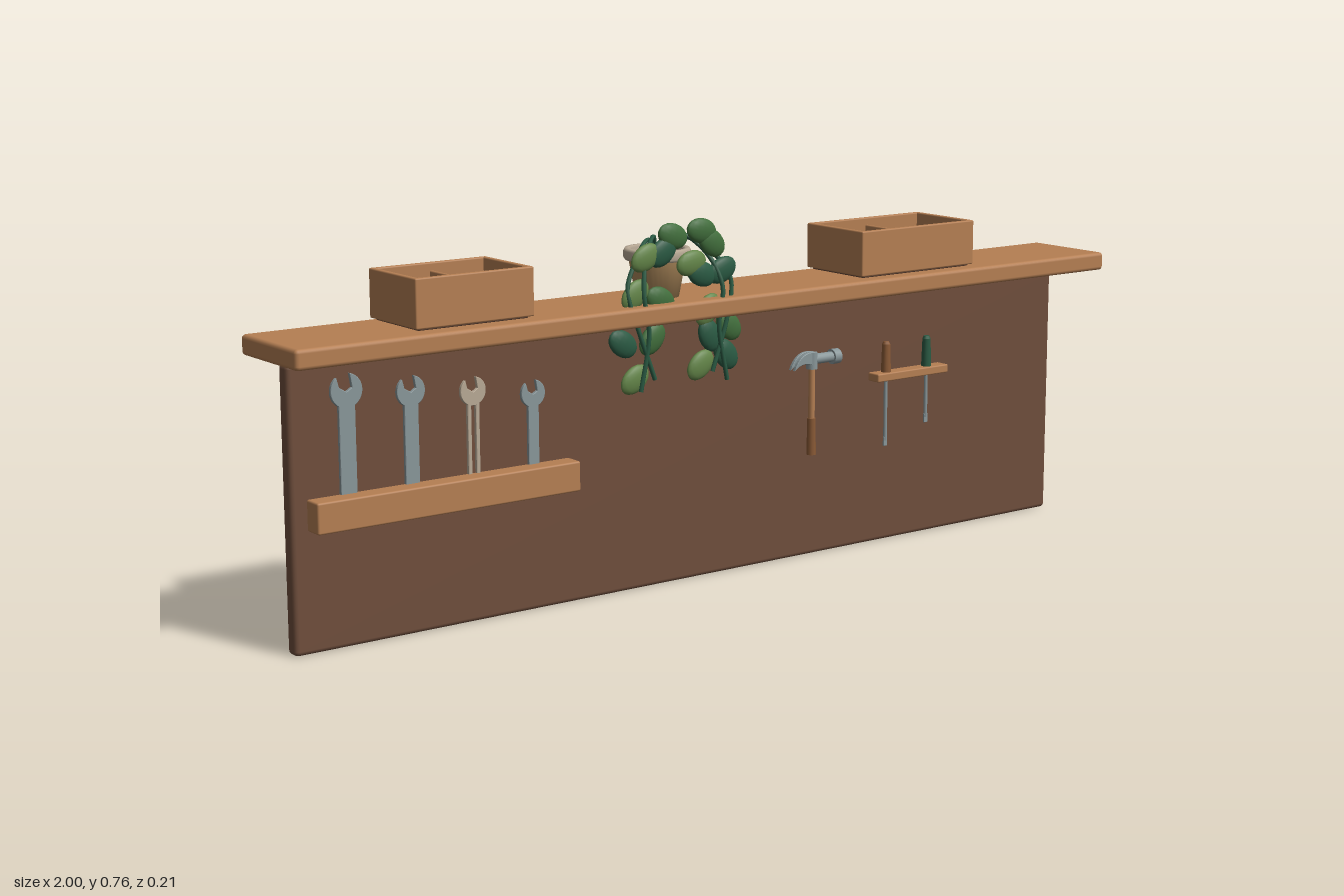
import * as THREE from 'three';
import { RoundedBoxGeometry } from 'three/addons/geometries/RoundedBoxGeometry.js';

const mat = (name, color) => {
  const m = new THREE.MeshStandardMaterial({ color });
  m.name = name;
  return m;
};

export function createModel() {
  const wood = mat('oak', 0xb57f53);
  const dark = mat('walnut', 0x6f4e3c);
  const steel = mat('steel', 0x89979a);
  const brass = mat('brass', 0xb8a05c);
  const darkGreen = mat('dark green', 0x2a5a43);
  const midGreen = mat('mid green', 0x416e3c);
  const lightGreen = mat('light green', 0x648649);
  const clay = mat('clay', 0xb28d5e);
  const rimColor = mat('pale glaze', 0xb8a995);
  const handleBrown = mat('handle brown', 0x8a5a36);

  const root = new THREE.Group();
  root.name = 'toolShelf';

  const add = (parent, name, geo, material, x = 0, y = 0, z = 0) => {
    const mesh = new THREE.Mesh(geo, material);
    mesh.name = name;
    mesh.position.set(x, y, z);
    parent.add(mesh);
    return mesh;
  };
  const group = (name, x = 0, y = 0, z = 0) => {
    const g = new THREE.Group();
    g.name = name;
    g.position.set(x, y, z);
    root.add(g);
    return g;
  };
  // Box given by its limits on each axis
  const block = (parent, name, material, x0, x1, y0, y1, z0, z1, r = 0.003) =>
    add(parent, name, new RoundedBoxGeometry(x1 - x0, y1 - y0, z1 - z0, 2, r), material,
      (x0 + x1) / 2, (y0 + y1) / 2, (z0 + z1) / 2);
  const rod = (parent, name, material, rTop, rBottom, x, y0, y1, z, sides = 12) =>
    add(parent, name, new THREE.CylinderGeometry(rTop, rBottom, y1 - y0, sides), material, x, (y0 + y1) / 2, z);
  const plate = (shape, depth, bevel = 0.001) => new THREE.ExtrudeGeometry(shape, {
    depth, bevelEnabled: true, bevelSize: bevel, bevelThickness: bevel, bevelSegments: 1, curveSegments: 10,
  });

  // Back panel and shelf board
  block(root, 'backPanel', dark, -0.957, 0.957, 0, 0.547, -0.048, -0.015, 0.009);
  block(root, 'shelfBoard', wood, -1, 1, 0.558, 0.597, -0.105, 0.105, 0.008);

  // Divided parts trays, each with a brass coil and a set of bolts
  const tray = (name, x, w, d) => {
    const g = group(name, x, 0.597, 0);
    const a = w / 2, b = d / 2, t = 0.011;
    block(g, 'trayFloor', dark, -a + 0.008, a - 0.008, 0.002, 0.016, -b + 0.008, b - 0.008);
    for (const s of [-1, 1]) {
      block(g, 'trayLongWall', wood, -a, a, 0.006, 0.1, s * (b - t / 2) - t / 2, s * (b - t / 2) + t / 2);
      block(g, 'trayEndWall', wood, s * (a - t / 2) - t / 2, s * (a - t / 2) + t / 2, 0.006, 0.1, -b, b);
    }
    block(g, 'trayDivider', wood, -0.004, 0.004, 0.012, 0.085, -b + t, b - t);
    const cx = -a / 2;
    for (const [r, tube] of [[0.034, 0.009], [0.019, 0.006]]) {
      const ring = add(g, 'brassRing', new THREE.TorusGeometry(r, tube, 8, 28), brass, cx, 0.026, -0.003);
      ring.rotation.x = Math.PI / 2;
    }
    for (let i = 0; i < 6; i++) {
      const bx = a / 2 - 0.013 + (i % 2) * 0.024, bz = -0.02 + Math.floor(i / 2) * 0.024;
      rod(g, 'boltShank', steel, 0.004, 0.004, bx, 0.014, 0.04, bz, 8);
      rod(g, 'boltHead', steel, 0.009, 0.009, bx, 0.036, 0.044, bz, 6);
    }
  };
  tray('smallTray', -0.617, 0.255, 0.17);
  tray('largeTray', 0.465, 0.31, 0.18);

  // Flower pot
  const pot = group('flowerPot', -0.145, 0.597, 0);
  const v = (x, y) => new THREE.Vector2(x, y);
  add(pot, 'potBody', new THREE.LatheGeometry([v(0, 0), v(0.043, 0), v(0.058, 0.08)], 32), clay);
  add(pot, 'potRim', new THREE.LatheGeometry(
    [v(0.056, 0.074), v(0.064, 0.074), v(0.067, 0.079), v(0.067, 0.092), v(0.064, 0.097), v(0.056, 0.097), v(0.053, 0.093), v(0.053, 0.074)], 32), rimColor);
  rod(pot, 'soil', dark, 0.054, 0.054, 0, 0.076, 0.086, 0, 32);

  // Trailing stems, mirrored about the pot
  const plant = group('trailingPlant', -0.145, 0, 0);
  const stems = [
    [[0.01, 0.68, 0.005], [0.03, 0.722, 0.03], [0.07, 0.69, 0.06], [0.095, 0.62, 0.088], [0.085, 0.54, 0.09], [0.105, 0.43, 0.09]],
    [[0.01, 0.68, 0.01], [0.04, 0.715, 0.025], [0.095, 0.68, 0.06], [0.125, 0.63, 0.075], [0.11, 0.56, 0.085], [0.07, 0.45, 0.088]],
  ];
  for (const s of [-1, 1]) for (const pts of stems) {
    const curve = new THREE.CatmullRomCurve3(pts.map(p => new THREE.Vector3(p[0] * s, p[1], p[2])));
    add(plant, 'stem', new THREE.TubeGeometry(curve, 32, 0.0045, 6), darkGreen);
  }
  // Leaves: x, y, tilt, colour index
  const greens = [darkGreen, midGreen, lightGreen];
  const leaves = [
    [-0.08, 0.688, 0.5, 2], [-0.015, 0.725, -0.35, 1], [0.055, 0.73, -0.2, 1], [0.105, 0.648, 0.4, 0],
    [0.03, 0.668, 0.2, 2], [0.08, 0.705, -0.7, 1], [-0.105, 0.618, 0.7, 2], [-0.04, 0.695, 0.6, 0],
    [-0.045, 0.602, -0.5, 1], [0.055, 0.645, -0.4, 0], [0.07, 0.572, 0.9, 2], [0.122, 0.535, -0.8, 1],
    [-0.135, 0.525, -0.6, 0], [-0.065, 0.527, 0.8, 1], [-0.107, 0.452, 0.6, 2], [0.052, 0.463, 0.7, 2],
    [0.115, 0.478, -0.9, 0], [0.075, 0.52, -1.1, 0],
  ];
  const leafGeo = new THREE.SphereGeometry(1, 16, 10);
  for (const [x, y, tilt, c] of leaves) {
    const leaf = add(plant, 'leaf', leafGeo, greens[c], x, y, 0.072);
    leaf.scale.set(0.036, 0.025, 0.011);
    leaf.rotation.z = tilt;
  }

  // Wrench rack
  block(root, 'wrenchRack', wood, -0.925, -0.35, 0.235, 0.295, -0.016, 0.027, 0.004);

  // Open-ended wrenches; the jaw notch leans to one side
  const wrench = (x, top, r, half, hollow) => {
    const s = new THREE.Shape();
    const cy = top - r, a = Math.asin(half / r), lean = 0.2;
    s.moveTo(-half, 0.25);
    s.lineTo(half, 0.25);
    s.absarc(0, cy, r, -Math.PI / 2 + a, Math.PI / 2 - 0.45 + lean, false);
    s.lineTo(r * 0.4, cy + r * 0.15);
    s.lineTo(0, cy - r * 0.1);
    s.lineTo(-r * 0.5, cy + r * 0.2);
    s.absarc(0, cy, r, Math.PI / 2 + 0.5 + lean, Math.PI * 1.5 - a, false);
    s.closePath();
    if (hollow) {
      const slot = new THREE.Path();
      const h = half * 0.5;
      slot.moveTo(-h, 0.256);
      slot.lineTo(-h, cy - r);
      slot.lineTo(h, cy - r);
      slot.lineTo(h, 0.256);
      slot.closePath();
      s.holes.push(slot);
    }
    add(root, 'wrench', plate(s, 0.006), hollow ? rimColor : steel, x, 0, -0.014);
  };
  wrench(-0.84, 0.52, 0.032, 0.016, false);
  wrench(-0.705, 0.5, 0.029, 0.014, false);
  wrench(-0.57, 0.482, 0.027, 0.012, true);
  wrench(-0.435, 0.46, 0.026, 0.011, false);

  // Claw hammer
  const hammer = group('hammer', 0.25, 0, 0.002);
  rod(hammer, 'hammerHandle', wood, 0.007, 0.007, 0, 0.295, 0.42, 0);
  rod(hammer, 'hammerGrip', handleBrown, 0.009, 0.01, 0, 0.222, 0.3, 0);
  rod(hammer, 'hammerEye', steel, 0.012, 0.012, 0, 0.405, 0.44, 0, 16);
  const neck = add(hammer, 'hammerNeck', new THREE.CylinderGeometry(0.011, 0.011, 0.05, 16), steel, 0.03, 0.425, 0);
  const face = add(hammer, 'hammerFace', new THREE.CylinderGeometry(0.016, 0.016, 0.018, 20), steel, 0.061, 0.425, 0);
  neck.rotation.z = face.rotation.z = Math.PI / 2;
  const claw = new THREE.Shape();
  claw.moveTo(0, 0.44);
  claw.quadraticCurveTo(-0.035, 0.445, -0.052, 0.408);
  claw.quadraticCurveTo(-0.028, 0.428, 0, 0.412);
  for (const z of [-0.01, 0.003]) add(hammer, 'hammerClaw', plate(claw, 0.006), steel, 0, 0, z);

  // Screwdriver rail with two screwdrivers
  block(root, 'screwdriverRail', wood, 0.42, 0.62, 0.357, 0.375, -0.016, 0.018);
  const driver = (x, tip, handleMat) => {
    const g = group('screwdriver', x, 0, 0.002);
    rod(g, 'screwdriverHandle', handleMat, 0.009, 0.011, 0, 0.375, 0.435, 0, 10);
    rod(g, 'screwdriverCap', handleMat, 0.006, 0.009, 0, 0.435, 0.441, 0, 10);
    rod(g, 'screwdriverShaft', steel, 0.004, 0.004, 0, tip + 0.012, 0.375, 0, 8);
    block(g, 'screwdriverTip', steel, -0.005, 0.005, tip, tip + 0.02, -0.002, 0.002, 0.001);
  };
  driver(0.455, 0.213, handleBrown);
  driver(0.57, 0.25, darkGreen);

  return root;
}
